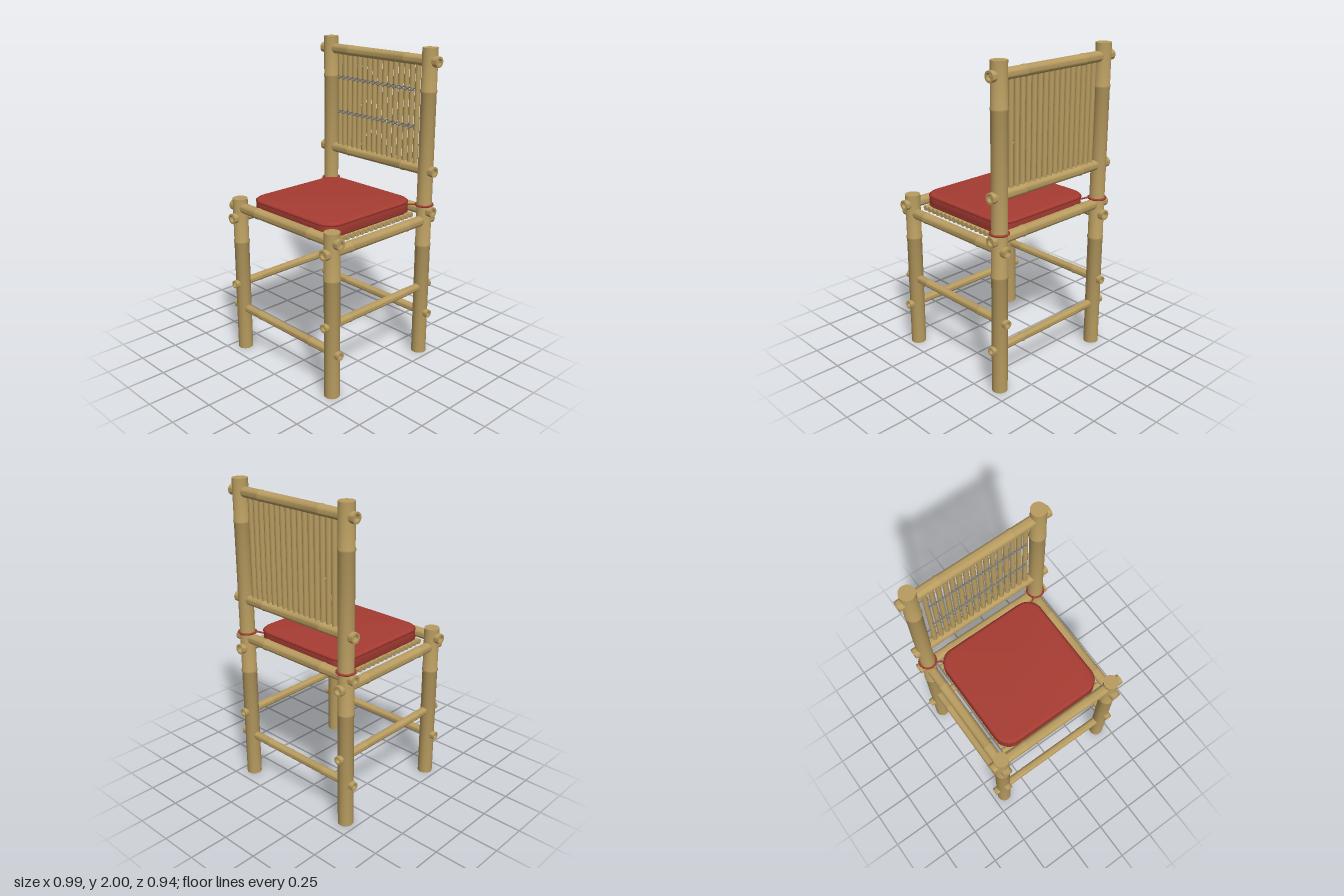
import * as THREE from 'three';
import { toCreasedNormals } from 'three/addons/utils/BufferGeometryUtils.js';

const mat = (name, color, side = THREE.FrontSide) => {
  const m = new THREE.MeshStandardMaterial({ color, side });
  m.name = name;
  return m;
};

export function createModel() {
  const model = new THREE.Group();
  model.name = 'bambooChair';
  const bamboo = mat('bamboo', 0xb89c60);
  const red = mat('cushionRed', 0xa63c32);
  const darkRed = mat('pipingRed', 0x8c2f28);
  const cord = mat('cord', 0x707a88);

  const add = (name, geo, material, parent = model) => {
    const mesh = new THREE.Mesh(geo, material);
    mesh.name = name;
    parent.add(mesh);
    return mesh;
  };

  // Bamboo pole from y = 0 to length, with swollen nodes and hollow ends
  const pole = (length, r, nodes, solidTop = false) => {
    const ri = r * 0.62, d = 0.04;
    const pts = [[0, d], [ri, d], [ri, 0], [r, 0]];
    for (const n of nodes) {
      pts.push([r, n - 0.012], [r * 1.07, n - 0.005], [r * 1.07, n + 0.005], [r, n + 0.012]);
    }
    pts.push([r, length]);
    if (solidTop) pts.push([0, length]);
    else pts.push([ri, length], [ri, length - d / 2], [0, length - d / 2]);
    const geo = new THREE.LatheGeometry(pts.map(p => new THREE.Vector2(...p)), 24);
    return toCreasedNormals(geo, 0.6);
  };

  const LX = 0.422, FZ = 0.4, BZ = -0.4;

  // Legs; the back pair runs up to hold the backrest
  for (const s of [-1, 1]) {
    add('frontLeg', pole(1.05, 0.048, [0.76], true), bamboo).position.set(s * LX, 0, FZ);
    add('backLeg', pole(2, 0.048, [0.76, 1.74], true), bamboo).position.set(s * LX, 0, BZ);
  }

  // Rails running left to right
  const railX = (name, y, z, r) => {
    const mesh = add(name, pole(0.99, r, [0.255, 0.735]), bamboo);
    mesh.rotation.z = -Math.PI / 2;
    mesh.position.set(-0.495, y, z);
  };
  for (const z of [FZ, BZ]) {
    railX('seatRail', 0.99, z, 0.033);
    railX('lowerRail', 0.29, z, 0.026);
  }
  railX('backrestBottomRail', 1.25, BZ, 0.033);
  railX('backrestTopRail', 1.92, BZ, 0.033);

  // Rails running front to back
  for (const s of [-1, 1]) {
    for (const [name, y, r] of [['sideSeatRail', 0.925, 0.033], ['sideLowerRail', 0.47, 0.026]]) {
      const mesh = add(name, pole(0.944, r, [0.24, 0.732]), bamboo);
      mesh.rotation.x = Math.PI / 2;
      mesh.position.set(s * LX, y, -0.472);
    }
  }

  // Seat slats
  const seatSlats = new THREE.Group();
  seatSlats.name = 'seatSlats';
  model.add(seatSlats);
  const seatSlat = new THREE.CylinderGeometry(0.0175, 0.0175, 0.744, 12).rotateZ(Math.PI / 2);
  for (let i = 0; i < 18; i++) {
    add('seatSlat', seatSlat, bamboo, seatSlats).position.set(0, 0.957, -0.34 + i * 0.04);
  }

  // Backrest slats
  const backSlats = new THREE.Group();
  backSlats.name = 'backSlats';
  model.add(backSlats);
  const count = 16, step = 0.0447, x0 = -step * (count - 1) / 2;
  const backSlat = new THREE.CylinderGeometry(0.0165, 0.0165, 0.65, 12);
  for (let i = 0; i < count; i++) {
    add('backSlat', backSlat, bamboo, backSlats).position.set(x0 + i * step, 1.585, BZ);
  }

  // Crossed cord lashing over the front of the slats
  const lashing = new THREE.Group();
  lashing.name = 'lashing';
  model.add(lashing);
  const strand = new THREE.CylinderGeometry(0.003, 0.003, 0.052, 6);
  for (const y of [1.51, 1.74]) {
    for (let i = 0; i < count - 1; i++) {
      for (const s of [-1, 1]) {
        const mesh = add('lashingStrand', strand, cord, lashing);
        mesh.position.set(x0 + (i + 0.5) * step, y, BZ + 0.0165);
        mesh.rotation.z = s * 1.02;
      }
    }
  }

  // Cushion: rounded square pad with soft edges
  const roundedSquare = (h, r) => {
    const s = new THREE.Shape();
    s.moveTo(-h + r, -h);
    s.lineTo(h - r, -h);
    s.absarc(h - r, -h + r, r, -Math.PI / 2, 0);
    s.lineTo(h, h - r);
    s.absarc(h - r, h - r, r, 0, Math.PI / 2);
    s.lineTo(-h + r, h);
    s.absarc(-h + r, h - r, r, Math.PI / 2, Math.PI);
    s.lineTo(-h, -h + r);
    s.absarc(-h + r, -h + r, r, Math.PI, Math.PI * 1.5);
    return s;
  };
  const bevel = 0.02;
  const pad = new THREE.ExtrudeGeometry(roundedSquare(0.348, 0.085), {
    depth: 0.088 - 2 * bevel, bevelThickness: bevel, bevelSize: bevel,
    bevelSegments: 5, curveSegments: 10,
  }).rotateX(-Math.PI / 2);
  add('cushion', toCreasedNormals(pad, 0.7), red).position.set(0, 0.972 + bevel, -0.002);

  // Piping around the cushion edges
  const outline = roundedSquare(0.366, 0.1).getSpacedPoints(96).slice(0, -1)
    .map(p => new THREE.Vector3(p.x, 0, -p.y));
  const piping = new THREE.TubeGeometry(
    new THREE.CatmullRomCurve3(outline, true), 128, 0.005, 6, true);
  for (const y of [0.986, 1.044]) {
    add('cushionPiping', piping, darkRed).position.set(0, y, -0.002);
  }

  // Cushion ties: a loop around each back leg and a strap to the pad corner
  for (const s of [-1, 1]) {
    const loop = add('tieLoop', new THREE.TorusGeometry(0.054, 0.007, 6, 12), red);
    loop.rotation.x = Math.PI / 2;
    loop.position.set(s * LX, 1.027, BZ);
    const path = new THREE.LineCurve3(
      new THREE.Vector3(s * 0.335, 1.02, -0.335), new THREE.Vector3(s * 0.384, 1.027, -0.362));
    add('tieStrap', new THREE.TubeGeometry(path, 1, 0.006, 6), red);
  }

  return model;
}
